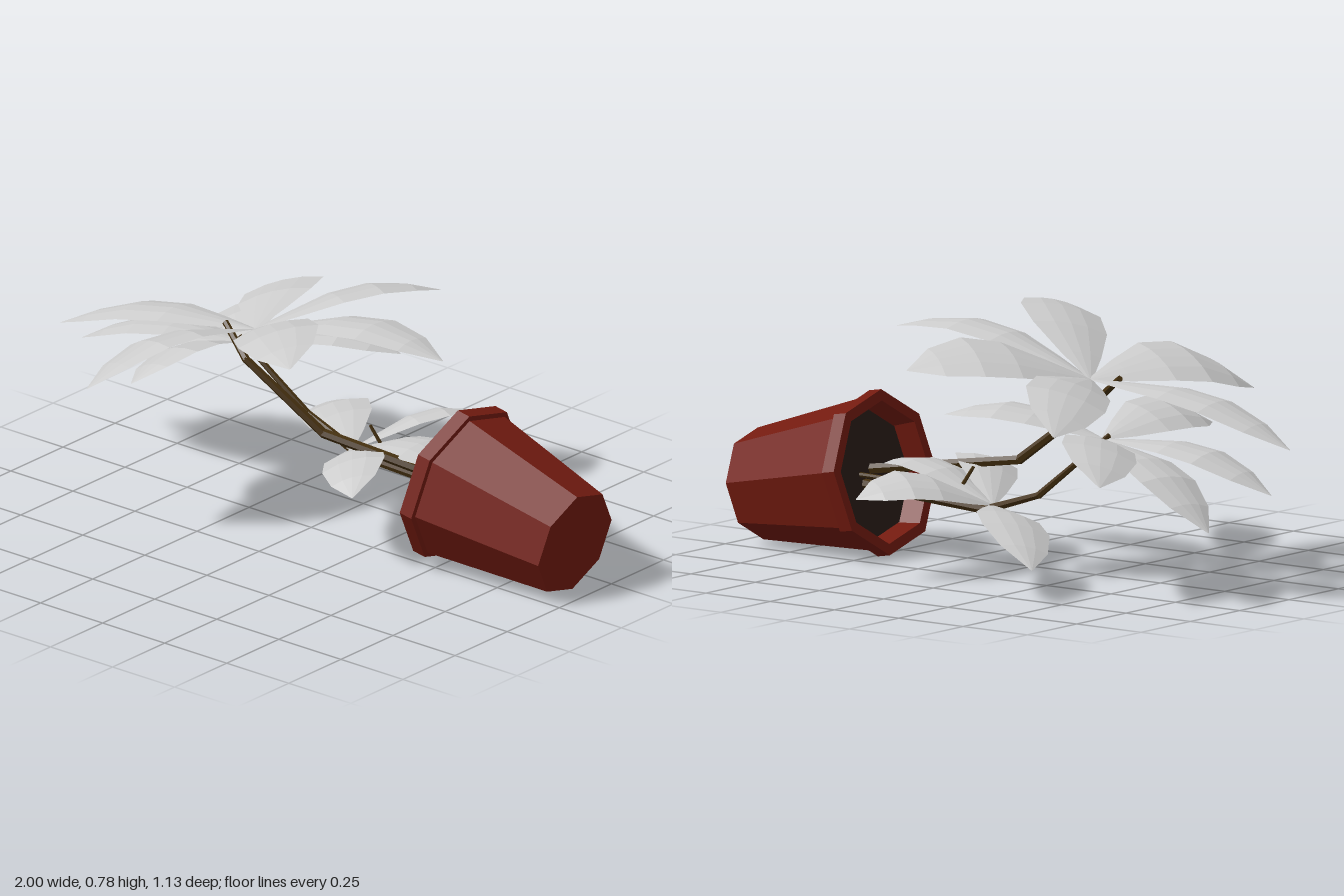
import * as THREE from 'three';

const V = (x, y, z) => new THREE.Vector3(x, y, z);
const mat = (color, side = THREE.FrontSide) =>
  new THREE.MeshStandardMaterial({ color, side, flatShading: true });

const leafMat = mat(0xcccccc, THREE.DoubleSide);
const stemMat = mat(0x45300f);
const potMat = mat(0x741b10);
const soilMat = mat(0x2a1d18);

// The toppled plant leans, so every leaf blade faces this way
const LEAN = THREE.MathUtils.degToRad(20);
const FACING = V(-Math.sin(LEAN), Math.cos(LEAN), 0);

// Faceted leaf: a folded strip that arches from base to tip
function makeLeaf(base, tip, halfWidth, rise) {
  const profile = [[0, 0.06], [0.2, 0.52], [0.42, 0.93], [0.63, 1], [0.83, 0.7], [1, 0.02]];
  const across = [-1, -0.45, 0, 0.45, 1];
  const side = tip.clone().sub(base).cross(FACING).normalize();
  const pos = [], index = [], n = across.length;
  profile.forEach(([t, w], i) => {
    const p = base.clone().lerp(tip, t);
    p.y += rise * Math.sin(Math.PI * Math.pow(t, 1.2));
    across.forEach((a, j) => {
      const q = p.clone().addScaledVector(side, a * w * halfWidth);
      q.addScaledVector(FACING, -0.018 * w * a * a);
      pos.push(q.x, q.y, q.z);
      if (i && j) {
        const k = i * n + j;
        index.push(k - n - 1, k - n, k, k - n - 1, k, k - 1);
      }
    });
  });
  const g = new THREE.BufferGeometry();
  g.setAttribute('position', new THREE.Float32BufferAttribute(pos, 3));
  g.setIndex(index);
  g.computeVertexNormals();
  const mesh = new THREE.Mesh(g, leafMat);
  mesh.name = 'leaf';
  return mesh;
}

// Kinked stem: one tapered six-sided cylinder per straight run
function makeStem(name, points, r0, r1) {
  const stem = new THREE.Group();
  stem.name = name;
  const last = points.length - 1;
  for (let i = 0; i < last; i++) {
    const a = V(...points[i]), b = V(...points[i + 1]);
    const d = b.clone().sub(a);
    const ra = r0 + (r1 - r0) * i / last, rb = r0 + (r1 - r0) * (i + 1) / last;
    const run = new THREE.Mesh(new THREE.CylinderGeometry(rb, ra, d.length() + 0.008, 6), stemMat);
    run.name = 'stemSection';
    run.position.copy(a).lerp(b, 0.5);
    run.quaternion.setFromUnitVectors(V(0, 1, 0), d.normalize());
    stem.add(run);
  }
  return stem;
}

// Each whorl: centre, then leaves as [tip x, y, z, half width, arch]
const WHORLS = [
  { name: 'topLeaves', centre: [-0.22, 0.61, 0.01], leaves: [
    [0.53, 0.70, 0, 0.1, 0.085],
    [0.28, 0.745, 0.435, 0.13, 0.08],
    [-0.43, 0.53, 0.565, 0.14, 0.09],
    [-0.95, 0.455, 0.07, 0.1, 0.07],
    [-0.48, 0.525, -0.515, 0.13, 0.07],
    [0.11, 0.67, -0.49, 0.14, 0.07]] },
  { name: 'middleLeaves', centre: [-0.4, 0.465, -0.16], leaves: [
    [-1.0, 0.34, -0.09, 0.1, 0.07],
    [-0.91, 0.24, -0.29, 0.11, 0.07],
    [-0.67, 0.39, -0.53, 0.12, 0.07],
    [-0.46, 0.46, 0.315, 0.11, 0.07],
    [0.1, 0.51, -0.31, 0.1, 0.06]] },
  { name: 'lowerLeaves', centre: [0.02, 0.215, -0.17], leaves: [
    [0.25, 0.262, -0.565, 0.1, 0.07],
    [-0.43, 0.11, -0.56, 0.11, 0.07],
    [0.35, 0.265, 0.22, 0.1, 0.07],
    [0.5, 0.285, -0.11, 0.1, 0.07]] },
];

export function createModel() {
  const model = new THREE.Group();
  model.name = 'toppledPottedPlant';

  // Octagonal pot lying on its side
  const pot = new THREE.Group();
  pot.name = 'pot';
  const profile = [[0, 0], [0.173, 0], [0.241, 0.444], [0.257, 0.446], [0.257, 0.493],
    [0.222, 0.493], [0.202, 0.35]].map(p => new THREE.Vector2(...p));
  const turn = THREE.MathUtils.degToRad(37);
  const shell = new THREE.Mesh(new THREE.LatheGeometry(profile, 8, turn), potMat);
  shell.name = 'potShell';
  const soil = new THREE.Mesh(new THREE.CylinderGeometry(0.209, 0.2, 0.04, 8, 1, false, turn), soilMat);
  soil.name = 'soil';
  soil.position.y = 0.4;
  pot.add(shell, soil);
  pot.rotation.z = THREE.MathUtils.degToRad(80);
  pot.position.set(0.97, 0.175, -0.11);
  model.add(pot);

  // Stems
  model.add(
    makeStem('tallStem', [[0.6, 0.255, -0.09], [0.05, 0.33, 0], [-0.2, 0.535, 0.075], [-0.31, 0.615, 0.04]], 0.018, 0.01),
    makeStem('middleStem', [[0.6, 0.22, -0.12], [0.04, 0.2, -0.18], [-0.18, 0.27, -0.2], [-0.42, 0.475, -0.16]], 0.018, 0.008),
    makeStem('shortStem', [[0.6, 0.25, -0.14], [0.15, 0.25, -0.17], [0.11, 0.32, -0.155]], 0.008, 0.005));

  // Leaf whorls
  for (const { name, centre, leaves } of WHORLS) {
    const whorl = new THREE.Group();
    whorl.name = name;
    for (const [x, y, z, w, rise] of leaves) whorl.add(makeLeaf(V(...centre), V(x, y, z), w, rise));
    model.add(whorl);
  }
  return model;
}
